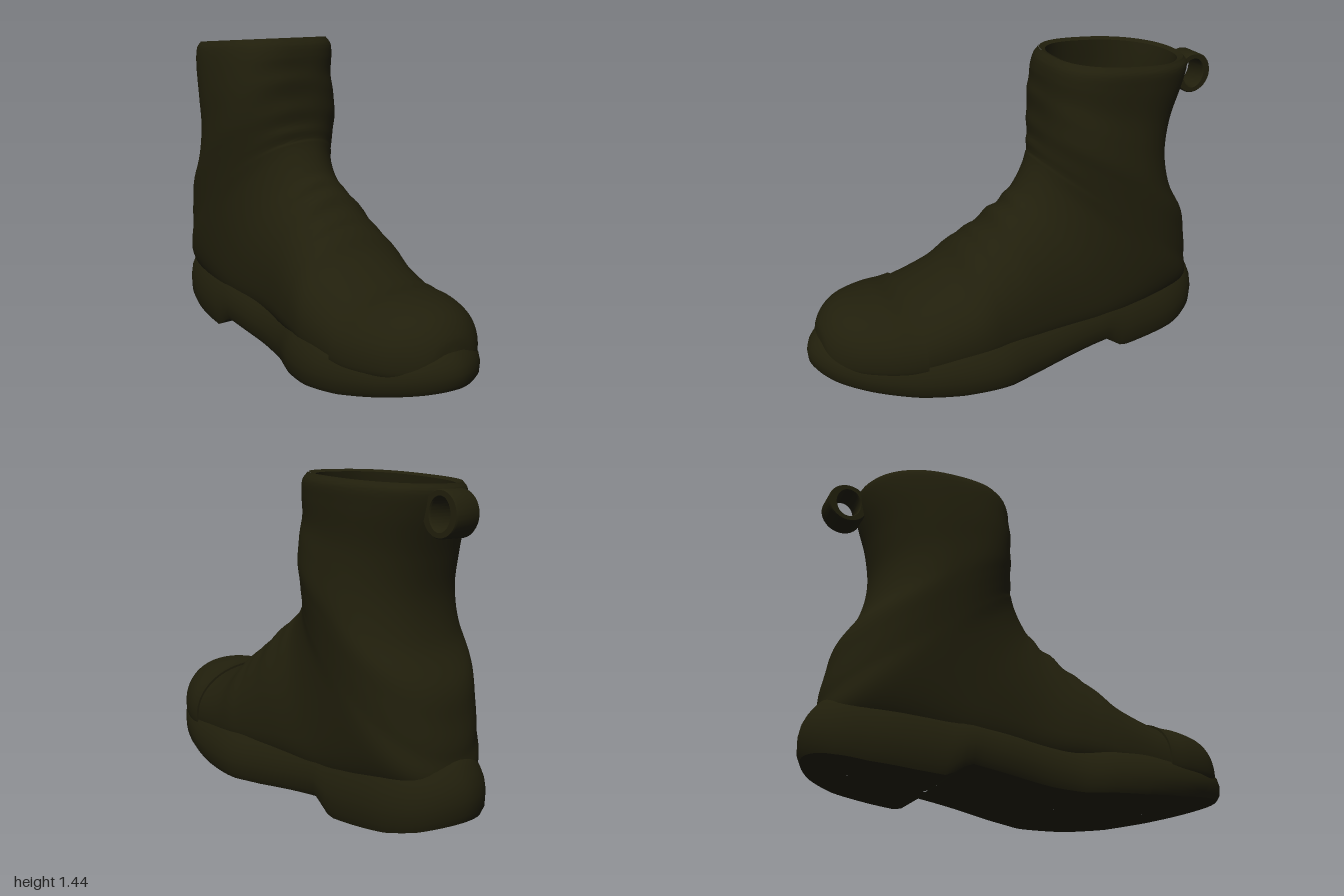
import * as THREE from 'three';
import { toCreasedNormals } from 'three/addons/utils/BufferGeometryUtils.js';

const leather = new THREE.MeshStandardMaterial({ color: 0x211f0c });
leather.name = 'dark olive leather';

// Skin a list of closed rings (equal point counts) into a surface
function loft(rings, crease = 0.8) {
  const n = rings[0].length, pos = [], idx = [];
  rings.forEach(r => r.forEach(p => pos.push(p.x, p.y, p.z)));
  for (let i = 0; i < rings.length - 1; i++) {
    for (let j = 0; j < n; j++) {
      const a = i * n + j, b = i * n + (j + 1) % n;
      idx.push(a, a + n, b, b, a + n, b + n);
    }
  }
  const g = new THREE.BufferGeometry();
  g.setAttribute('position', new THREE.Float32BufferAttribute(pos, 3));
  g.setIndex(idx);
  return toCreasedNormals(g, crease);
}

function part(name, geometry) {
  const m = new THREE.Mesh(geometry, leather);
  m.name = name;
  return m;
}

// Piecewise-linear lookup in [x, y] pairs
function lookup(table, x) {
  let i = 0;
  while (i < table.length - 2 && x > table[i + 1][0]) i++;
  const [x0, y0] = table[i], [x1, y1] = table[i + 1];
  return THREE.MathUtils.lerp(y0, y1, THREE.MathUtils.clamp((x - x0) / (x1 - x0), 0, 1));
}

// Upper sections, toe to collar: front x,y | rear x,y | half width, z centre
// | widest fraction, rear exponent, front exponent
const foot = [
  [0.945, 0.26, 0.945, 0.2, 0.02, 0.02], [0.93, 0.32, 0.93, 0.17, 0.11, 0.02],
  [0.88, 0.38, 0.88, 0.15, 0.185, 0.02], [0.8, 0.417, 0.8, 0.13, 0.25, 0.02],
  [0.68, 0.433, 0.68, 0.11, 0.3, 0.015], [0.55, 0.437, 0.55, 0.1, 0.325, 0.01],
  [0.36, 0.51, 0.34, 0.1, 0.335, 0], [0.27, 0.59, 0.22, 0.1, 0.33, -0.01],
  [0.2, 0.64, 0.1, 0.1, 0.315, -0.015], [0.07, 0.745, -0.15, 0.1, 0.29, -0.025],
  [-0.02, 0.825, -0.5, 0.1, 0.287, -0.015],
].map((r, i) => [...r, 0.3 + i * 0.006, 3, 2.1]);
const shaft = [
  [-0.075, 0.905, -0.9, 0.18, 0.3, -0.01, 0.45, 2.4, 2.2], [-0.105, 0.965, -0.93, 0.33, 0.305, -0.01, 0.5, 2.2, 2.3],
  [-0.115, 1.01, -0.91, 0.47, 0.31, -0.01, 0.5, 2.2, 2.4], [-0.12, 1.06, -0.88, 0.6, 0.315, -0.01, 0.5, 2.2, 2.5],
  [-0.125, 1.12, -0.79, 0.76, 0.317, -0.01, 0.5, 2.2, 2.5], [-0.13, 1.2, -0.757, 0.93, 0.308, -0.005, 0.5, 2.2, 2.6],
  [-0.135, 1.27, -0.78, 1.1, 0.3, 0, 0.5, 2.2, 2.6], [-0.14, 1.35, -0.83, 1.27, 0.298, -0.01, 0.5, 2.2, 2.7],
  [-0.15, 1.405, -0.845, 1.36, 0.292, -0.018, 0.5, 2.2, 2.7], [-0.175, 1.44, -0.825, 1.395, 0.272, -0.018, 0.5, 2.2, 2.7],
];
// Lining, from the rim down to the rounded insole
const lining = [
  [-0.175, 1.44, -0.825, 1.395, 0.272, -0.018], [-0.2, 1.43, -0.8, 1.385, 0.247, -0.018],
  [-0.18, 1.28, -0.77, 1.15, 0.262, -0.01], [-0.18, 1.08, -0.73, 0.9, 0.268, -0.01],
  [-0.2, 0.78, -0.78, 0.68, 0.255, -0.01], [-0.25, 0.5, -0.8, 0.45, 0.21, -0.01],
  [-0.36, 0.39, -0.66, 0.38, 0.12, -0.01], [-0.48, 0.37, -0.48, 0.37, 0, -0.01],
].map(r => [...r, 0.5, 2.2, 2.6]);

// One egg-shaped ring; grow inflates it, wrinkle lifts its front
function section([fx, fy, rx, ry, w, zc, m, nRear, nFront], grow = 0, wrinkle = 0, segs = 64) {
  const front = new THREE.Vector2(fx, fy), rear = new THREE.Vector2(rx, ry);
  const mid = rear.clone().lerp(front, m), ring = [];
  for (let j = 0; j < segs; j++) {
    const a = (j / segs) * Math.PI * 2, c = Math.cos(a), s = Math.sin(a);
    const e = 2 / (c > 0 ? nFront : nRear);
    const p = mid.clone().lerp(c > 0 ? front : rear, Math.pow(Math.abs(c), e));
    const bump = wrinkle * Math.max(0, c) ** 2 * (1 + 0.5 * Math.sin(a * 5));
    ring.push(new THREE.Vector3(p.x + bump * 0.6, p.y + grow * c + bump * 0.8,
      zc + (w + grow) * Math.sign(s) * Math.pow(Math.abs(s), e)));
  }
  return ring;
}

// Smoothly interpolate every column of a section table at row index t
function sampler(rows) {
  const curves = rows[0].map((_, k) => new THREE.CatmullRomCurve3(
    rows.map(r => new THREE.Vector3(r[k], 0, 0)), false, 'catmullrom', 0.5));
  return t => curves.map(c => c.getPoint(Math.min(1, t / (rows.length - 1))).x);
}

function upper() {
  const rows = [...foot, ...shaft], at = sampler(rows), rings = [];
  for (let t = 0; t <= rows.length - 1; t += 0.125) {
    // Flex creases on the instep, fainter ones up the shin
    const instep = Math.exp(-(((t - 8.8) / 0.9) ** 2)) * 0.008 * Math.sin(t * 8);
    const shin = t > 12 && t < 18 ? 0.004 * Math.sin(t * 3.5) : 0;
    rings.push(section(at(t), 0, instep + shin));
  }
  return loft(rings, 1.2);
}

function toeCap() {
  const at = sampler([...foot, ...shaft]), rings = [];
  for (let t = 0; t <= 5; t += 0.125) {
    const r = at(t);
    r[0] += 0.006 * (1 - t / 5);
    r[2] += 0.006 * (1 - t / 5);
    rings.push(section(r, 0.01));
  }
  rings.unshift(rings[0].map(() => new THREE.Vector3(0.951, 0.23, 0.02)));
  rings.push(section(at(5), -0.005));
  return loft(rings, 0.9);
}

// Sole plan outline [x, z], with side profiles of its underside and top edge
const outline = [
  [-1, 0], [-0.97, -0.12], [-0.9, -0.21], [-0.78, -0.27], [-0.55, -0.3], [-0.3, -0.31], [0, -0.35],
  [0.2, -0.385], [0.4, -0.372], [0.6, -0.33], [0.8, -0.245], [0.94, -0.13], [1, 0.02], [0.95, 0.16],
  [0.8, 0.28], [0.6, 0.355], [0.42, 0.378], [0.25, 0.355], [0.1, 0.3], [-0.05, 0.28], [-0.25, 0.285],
  [-0.5, 0.285], [-0.75, 0.25], [-0.9, 0.19], [-0.97, 0.11],
];
const underside = [[-1, 0.08], [-0.9, 0.05], [-0.78, 0.026], [-0.6, 0.008], [-0.47, 0], [-0.38, 0.065],
  [-0.2, 0.045], [0, 0.02], [0.15, 0.01], [0.4, 0.02], [0.6, 0.045], [0.8, 0.085], [1, 0.13]];
const topEdge = [[-1, 0.33], [-0.9, 0.335], [-0.5, 0.305], [-0.1, 0.27], [0.2, 0.25], [0.5, 0.243],
  [0.8, 0.268], [0.94, 0.3], [1, 0.3]];

function sole() {
  const curve = new THREE.CatmullRomCurve3(
    outline.map(([x, z]) => new THREE.Vector3(x, 0, z)), true, 'centripetal');
  const N = 160, base = [];
  for (let i = 0; i < N; i++) {
    const p = curve.getPoint(i / N), t = curve.getTangent(i / N);
    base.push({ p, nx: t.z, nz: -t.x });
  }
  // Rows: inset from the outline, height fraction, squeeze towards the centre line
  const rows = [[0.018, 0, 0], [0.018, 0, 0.5], [0.018, 0, 1], [0.003, 0.12, 1], [0, 0.36, 1], [0.008, 0.55, 1],
    [0.024, 0.7, 1], [0.043, 0.82, 1], [0.07, 0.94, 1], [0.14, 1, 1]];
  return loft(rows.map(([inset, f, k]) => base.map(({ p, nx, nz }) => {
    const x = p.x - nx * inset, z = p.z - nz * inset;
    const y = THREE.MathUtils.lerp(lookup(underside, x), lookup(topEdge, x), f);
    return new THREE.Vector3(x, y, z * k);
  })), 0.75);
}

// Strap ring at the back of the collar
function pullLoop() {
  const shape = new THREE.Shape().absellipse(0, 0, 0.088, 0.09, 0, Math.PI * 2);
  shape.holes.push(new THREE.Path().absellipse(0, 0, 0.057, 0.07, 0, Math.PI * 2, true));
  const g = new THREE.ExtrudeGeometry(shape, {
    depth: 0.11, curveSegments: 16, bevelEnabled: true, bevelSize: 0.004, bevelThickness: 0.006, bevelSegments: 1,
  });
  g.translate(-0.895, 1.285, -0.1);
  return toCreasedNormals(g, 0.6);
}

export function createModel() {
  const boot = new THREE.Group();
  boot.name = 'boot';
  const inside = sampler(lining);
  const liningRings = [section(lining[0])];
  for (let t = 1; t < lining.length; t += 0.25) liningRings.push(section(inside(Math.min(t, lining.length - 1))));
  liningRings.push(section(lining[lining.length - 1]));
  boot.add(
    part('sole', sole()),
    part('upper', upper()),
    part('toeCap', toeCap()),
    part('lining', loft(liningRings, 0.9)),
    part('pullLoop', pullLoop()),
  );
  return boot;
}
